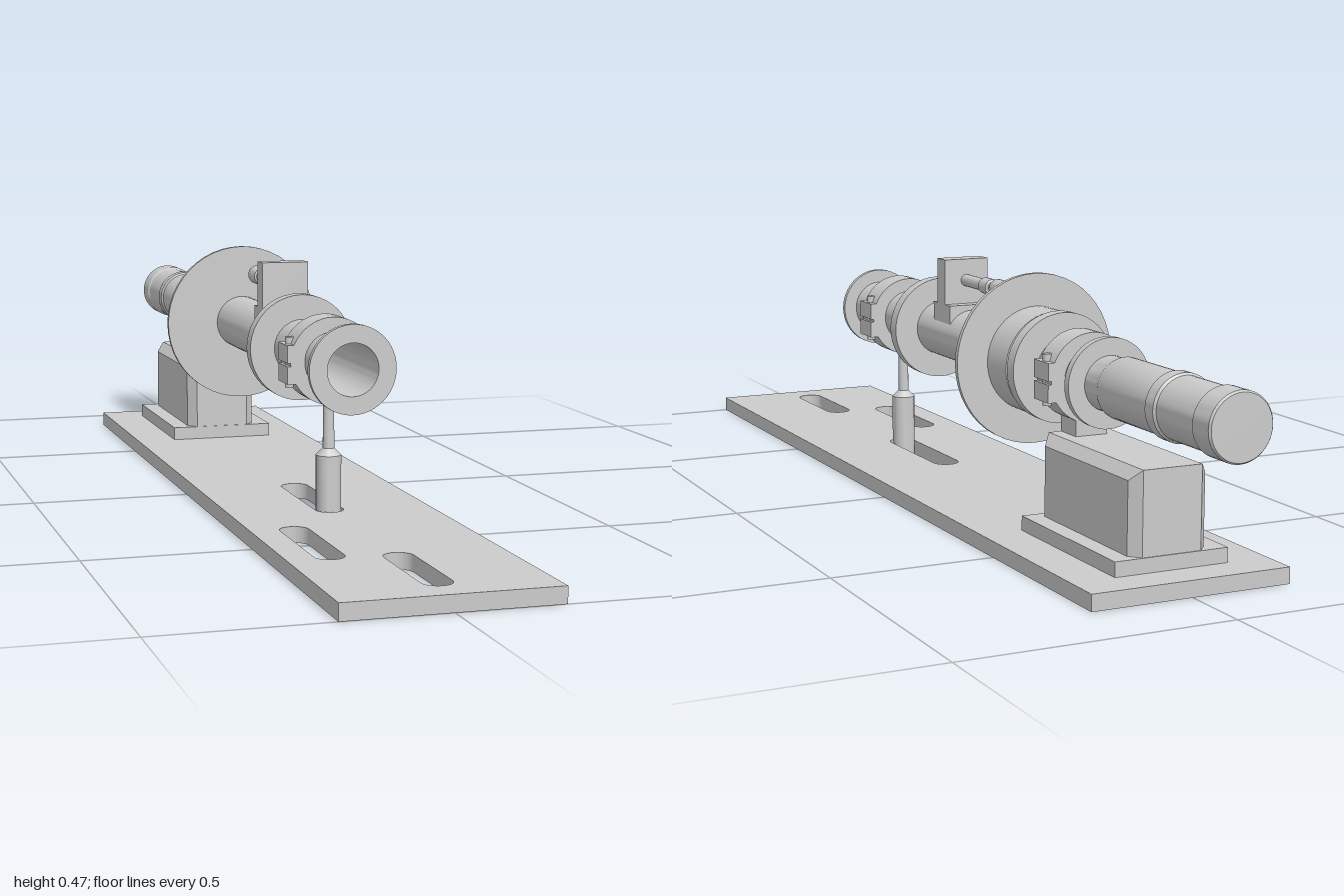
import * as THREE from 'three';
import { toCreasedNormals } from 'three/addons/utils/BufferGeometryUtils.js';

const AXIS_Y = 0.312;
const material = new THREE.MeshStandardMaterial({ color: 0xcccccc });

function addMesh(parent, name, geometry, x = 0, y = 0, z = 0) {
  const mesh = new THREE.Mesh(geometry, material);
  mesh.name = name;
  mesh.position.set(x, y, z);
  parent.add(mesh);
  return mesh;
}

// Box given by its lower and upper corners
function addBox(parent, name, [x0, y0, z0], [x1, y1, z1]) {
  return addMesh(parent, name, new THREE.BoxGeometry(x1 - x0, y1 - y0, z1 - z0),
    (x0 + x1) / 2, (y0 + y1) / 2, (z0 + z1) / 2);
}

// Turned part from [radius, position] pairs, with crisp steps
function turned(points, segments = 48) {
  const lathe = new THREE.LatheGeometry(points.map(([r, h]) => new THREE.Vector2(r, h)), segments);
  return toCreasedNormals(lathe, 0.5);
}

// Turned part lying along z
function addTurnedZ(parent, name, points, y = AXIS_Y, segments = 48) {
  return addMesh(parent, name, turned(points, segments).rotateX(Math.PI / 2), 0, y, 0);
}

function addDisc(parent, name, radius, z0, z1) {
  return addTurnedZ(parent, name,
    [[0.05, z0], [radius, z0], [radius, z1], [0.05, z1]]);
}

// Base plate with three rounded slots; shape y is -z
function createBase(parent) {
  const plate = new THREE.Shape([
    [-0.191, -1], [0.191, -1], [0.191, 0.865], [-0.191, 0.865],
  ].map(([x, y]) => new THREE.Vector2(x, y)));
  const r = 0.027;
  for (const [x, z0, z1] of [[-0.112, 0.47, 0.73], [0, 0.71, 0.945], [0, 0.095, 0.375]]) {
    const slot = new THREE.Path();
    slot.absarc(x, -z0 - r, r, 0, Math.PI, false);
    slot.absarc(x, -z1 + r, r, Math.PI, Math.PI * 2, false);
    slot.closePath();
    plate.holes.push(slot);
  }
  const geometry = new THREE.ExtrudeGeometry(plate, { depth: 0.03, bevelEnabled: false, curveSegments: 8 });
  addMesh(parent, 'basePlate', geometry.rotateX(-Math.PI / 2));
}

// Rear pedestal: foot flange, block with bevelled sides, neck up to the clamp
function createPedestal(parent) {
  const group = new THREE.Group();
  group.name = 'rearPedestal';
  addBox(group, 'pedestalFoot', [-0.11, 0.03, -0.797], [0.11, 0.057, -0.453]);
  const side = new THREE.Shape([
    [-0.15, 0.052], [0.15, 0.052], [0.15, 0.187], [-0.15, 0.187],
  ].map(([x, y]) => new THREE.Vector2(x, y)));
  const block = new THREE.ExtrudeGeometry(side, {
    depth: 0.114, bevelThickness: 0.018, bevelSize: 0.02, bevelSegments: 1,
  });
  block.translate(0, 0, -0.057).rotateY(Math.PI / 2);
  addMesh(group, 'pedestalBlock', block, 0, 0, -0.625);
  addBox(group, 'pedestalNeck', [-0.032, 0.2, -0.511], [0.032, 0.25, -0.455]);
  parent.add(group);
}

// Clamp ring with an ear and a screw on each side
function createClamp(parent, name, z0, z1) {
  const group = new THREE.Group();
  group.name = name;
  addDisc(group, 'clampRing', 0.082, z0, z1);
  const zm = (z0 + z1) / 2;
  for (const s of [-1, 1]) {
    for (const v of [-1, 1]) {
      const ear = addBox(group, 'clampEar', [-0.009, -0.0165, z0], [0.009, 0.0165, z1]);
      ear.position.x = s * 0.079;
      ear.position.y = AXIS_Y - 0.004 + v * 0.0195;
    }
    addMesh(group, 'clampScrew', new THREE.CylinderGeometry(0.008, 0.008, 0.094, 16),
      s * 0.076, AXIS_Y - 0.002, zm);
  }
  parent.add(group);
}

export function createModel() {
  const model = new THREE.Group();
  model.name = 'opticalBench';

  createBase(model);
  createPedestal(model);

  // Main barrel, hollow at the front, with the stepped eyepiece at the back
  addTurnedZ(model, 'barrel', [
    [0, -1], [0.057, -1], [0.06, -0.996], [0.06, -0.948], [0.056, -0.942],
    [0.056, -0.83], [0.06, -0.826], [0.06, -0.8], [0.056, -0.795],
    [0.056, -0.63], [0.05, -0.615], [0.05, -0.56], [0.055, -0.56],
    [0.055, 0.255], [0.058, 0.255], [0.058, 0.268], [0.055, 0.268],
    [0.055, 0.476], [0.082, 0.476], [0.082, 0.487], [0.0485, 0.487],
    [0.0485, -0.28], [0, -0.28],
  ]);

  // Collars and discs along the barrel
  addDisc(model, 'frontDisc', 0.103, 0.14, 0.168);
  addDisc(model, 'largeDisc', 0.162, -0.288, -0.278);
  addDisc(model, 'collarBody', 0.1, -0.366, -0.288);
  addDisc(model, 'collarGroove', 0.093, -0.376, -0.366);
  addDisc(model, 'collarRim', 0.103, -0.402, -0.376);
  addDisc(model, 'rearRing', 0.082, -0.575, -0.56);

  createClamp(model, 'frontClamp', 0.31, 0.37);
  createClamp(model, 'rearClamp', -0.511, -0.455);

  // Front post with a slim pin
  addMesh(model, 'frontPost', turned([
    [0, 0], [0.024, 0], [0.024, 0.133], [0.011, 0.146], [0.01, 0.24], [0, 0.24],
  ], 16), 0, 0, 0.342);

  // Top bracket carrying the adjuster screw
  addBox(model, 'bracketFoot', [-0.047, 0.335, -0.006], [0.047, 0.378, 0.074]);
  addBox(model, 'bracketPlate', [-0.047, 0.37, 0.018], [0.047, 0.468, 0.055]);
  addTurnedZ(model, 'adjusterScrew', [
    [0, -0.162], [0.016, -0.162], [0.019, -0.156], [0.019, -0.125], [0.016, -0.118],
    [0.011, -0.116], [0.011, -0.105], [0.016, -0.103], [0.016, -0.07], [0.012, -0.066],
    [0.012, 0.02], [0, 0.02],
  ], 0.425, 24);

  return model;
}
